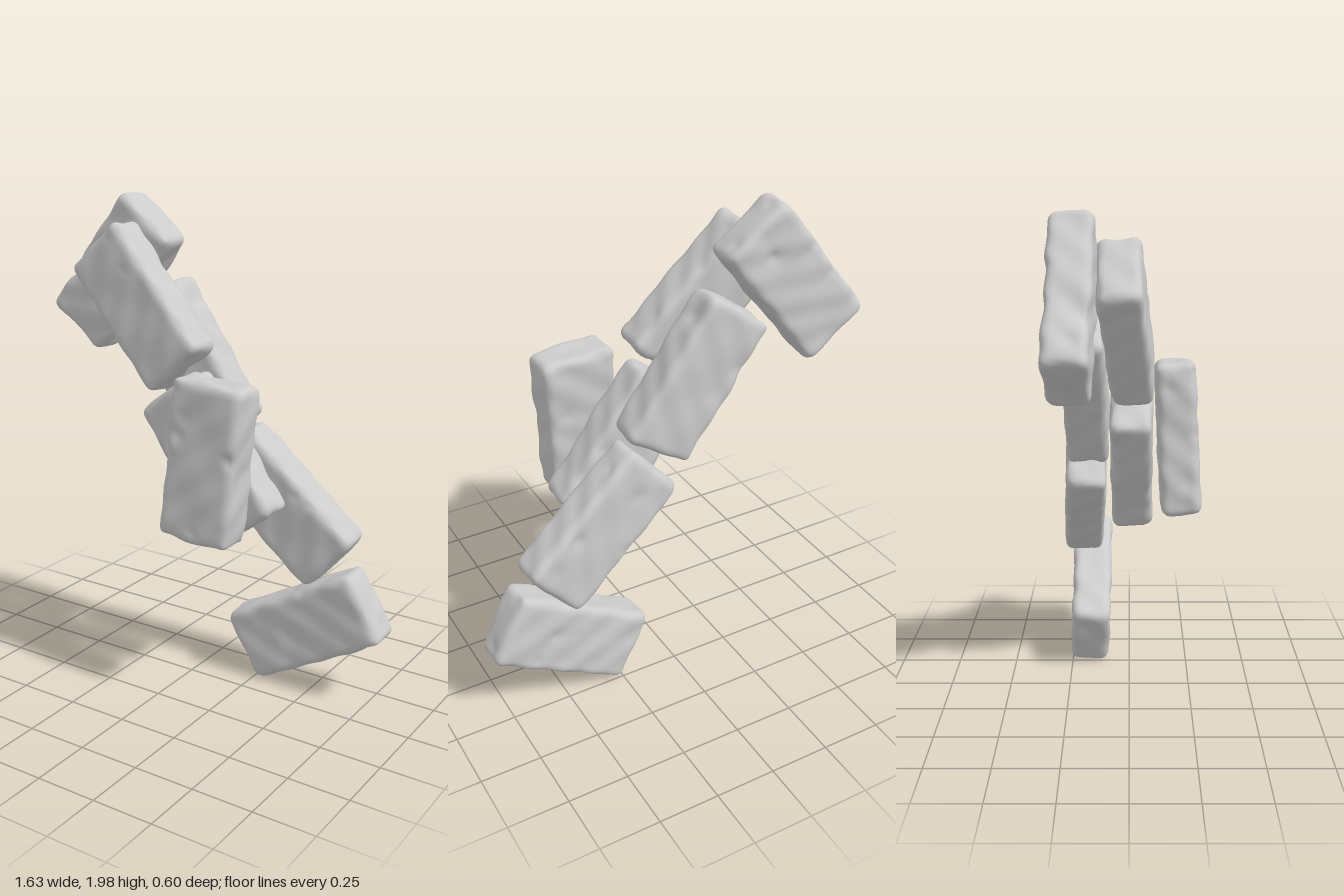
import * as THREE from 'three';
import { mergeVertices } from 'three/addons/utils/BufferGeometryUtils.js';

const SIZE = new THREE.Vector3(0.64, 0.31, 0.168);
const RADIUS = 0.036;

function seeded(seed) {
  let s = seed * 7919 + 17;
  return () => ((s = (s * 16807) % 2147483647) / 2147483647);
}

// Worn brick: rounded box with gentle bumps and a few chipped dents
function brickGeometry(seed) {
  const rand = seeded(seed);
  let geo = new THREE.BoxGeometry(SIZE.x, SIZE.y, SIZE.z, 48, 24, 14);
  geo.deleteAttribute('uv');
  geo.deleteAttribute('normal');
  geo = mergeVertices(geo, 1e-4);

  // dents scattered over all faces
  const dents = [];
  for (let i = 0; i < 26; i++) {
    const c = new THREE.Vector3(rand() - 0.5, rand() - 0.5, rand() - 0.5);
    const axis = i % 4 === 0 ? 'x' : i % 4 === 1 ? 'y' : 'z';
    c[axis] = rand() < 0.5 ? -0.5 : 0.5;
    dents.push({ c: c.multiply(SIZE), r: 0.02 + 0.04 * rand(), d: 0.003 + 0.006 * rand() });
  }
  const phase = [rand() * 6, rand() * 6, rand() * 6];

  const inner = SIZE.clone().multiplyScalar(0.5).subScalar(RADIUS);
  const low = inner.clone().negate();
  const pos = geo.attributes.position;
  const p = new THREE.Vector3(), core = new THREE.Vector3(), n = new THREE.Vector3();
  for (let i = 0; i < pos.count; i++) {
    p.fromBufferAttribute(pos, i);
    core.copy(p).clamp(low, inner);
    n.copy(p).sub(core).normalize();
    let push = 0.003 * Math.sin(p.x * 17 + p.z * 12 + phase[0]) * Math.sin(p.y * 21 + phase[1])
      + 0.002 * Math.sin(p.x * 41 + p.y * 33 + p.z * 37 + phase[2]);
    for (const { c, r, d } of dents) push -= d * Math.exp(-p.distanceToSquared(c) / (r * r));
    p.copy(core).addScaledVector(n, RADIUS + push);
    pos.setXYZ(i, p.x, p.y, p.z);
  }
  geo.computeVertexNormals();
  return geo;
}

// name, centre, direction of the long axis, z lean of the short axis
const BRICKS = [
  ['topBackBrick', [-0.51, 1.655, -0.207], [0.39, 0.49, 0.015], -0.03],
  ['topFrontBrick', [-0.245, 1.562, -0.01], [0.43, -0.46, 0.055], 0],
  ['upperBackBrick', [-0.105, 1.32, -0.17], [0.36, -0.52, 0.01], 0],
  ['middleBrick', [0.11, 0.99, 0.01], [0.38, -0.51, 0.005], 0],
  ['lowerBackBrick', [0.325, 0.78, -0.19], [0.465, -0.42, -0.03], 0],
  ['frontBrick', [0.212, 1.04, 0.203], [0.045, 0.635, -0.03], 0],
  ['bottomBrick', [0.467, 0.29, -0.17], [0.545, 0.3, 0], 0.05],
];

export function createModel() {
  const group = new THREE.Group();
  group.name = 'brickPile';
  const material = new THREE.MeshStandardMaterial({ color: 0xcccccc });
  BRICKS.forEach(([name, centre, dir, lean], i) => {
    const mesh = new THREE.Mesh(brickGeometry(i + 1), material);
    mesh.name = name;
    const u = new THREE.Vector3(...dir).normalize();
    const v = new THREE.Vector3(-u.y, u.x, lean);
    const n = u.clone().cross(v).normalize();
    v.copy(n).cross(u);
    mesh.quaternion.setFromRotationMatrix(new THREE.Matrix4().makeBasis(u, v, n));
    mesh.position.set(...centre);
    group.add(mesh);
  });
  return group;
}
